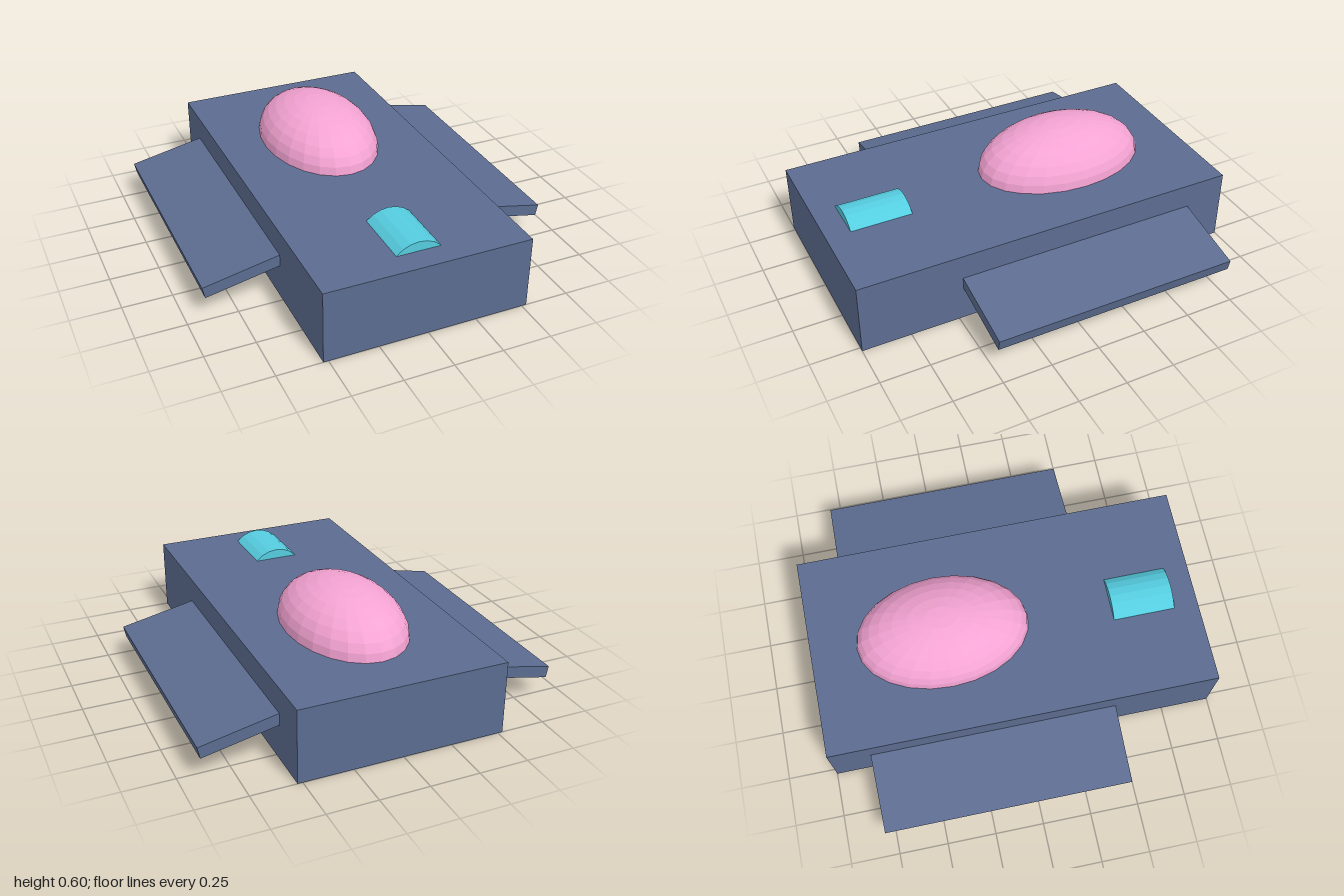
import * as THREE from 'three';

export function createModel() {
  const model = new THREE.Group();
  const hull = new THREE.MeshStandardMaterial({ color: 0x5c6c90 });
  const pink = new THREE.MeshStandardMaterial({ color: 0xf4a3d3, flatShading: true });
  const cyan = new THREE.MeshStandardMaterial({ color: 0x55cde0, flatShading: true });

  const add = (name, geometry, material, x, y, z) => {
    const mesh = new THREE.Mesh(geometry, material);
    mesh.name = name;
    mesh.position.set(x, y, z);
    model.add(mesh);
    return mesh;
  };

  // Main slab
  add('body', new THREE.BoxGeometry(1.05, 0.375, 2), hull, 0, 0.1875, 0);

  // Drooping side wings, their inner ends set into the body
  for (const side of [1, -1]) {
    const wing = add(side > 0 ? 'leftWing' : 'rightWing',
      new THREE.BoxGeometry(0.45, 0.06, 1.27), hull, side * 0.685, 0.181, -0.16);
    wing.rotation.z = -side * 0.205;
  }

  // Stretched half-sphere canopy on the rear deck
  const dome = new THREE.SphereGeometry(1, 24, 8, 0, Math.PI * 2, 0, Math.PI / 2);
  add('canopy', dome, pink, 0, 0.375, -0.32).scale.set(0.295, 0.22, 0.445);

  // Round bar sunk into the front deck so only its crown shows
  const bar = new THREE.CylinderGeometry(0.157, 0.157, 0.32, 24);
  bar.rotateX(Math.PI / 2);
  add('frontSensor', bar, cyan, 0, 0.268, 0.715);

  return model;
}
